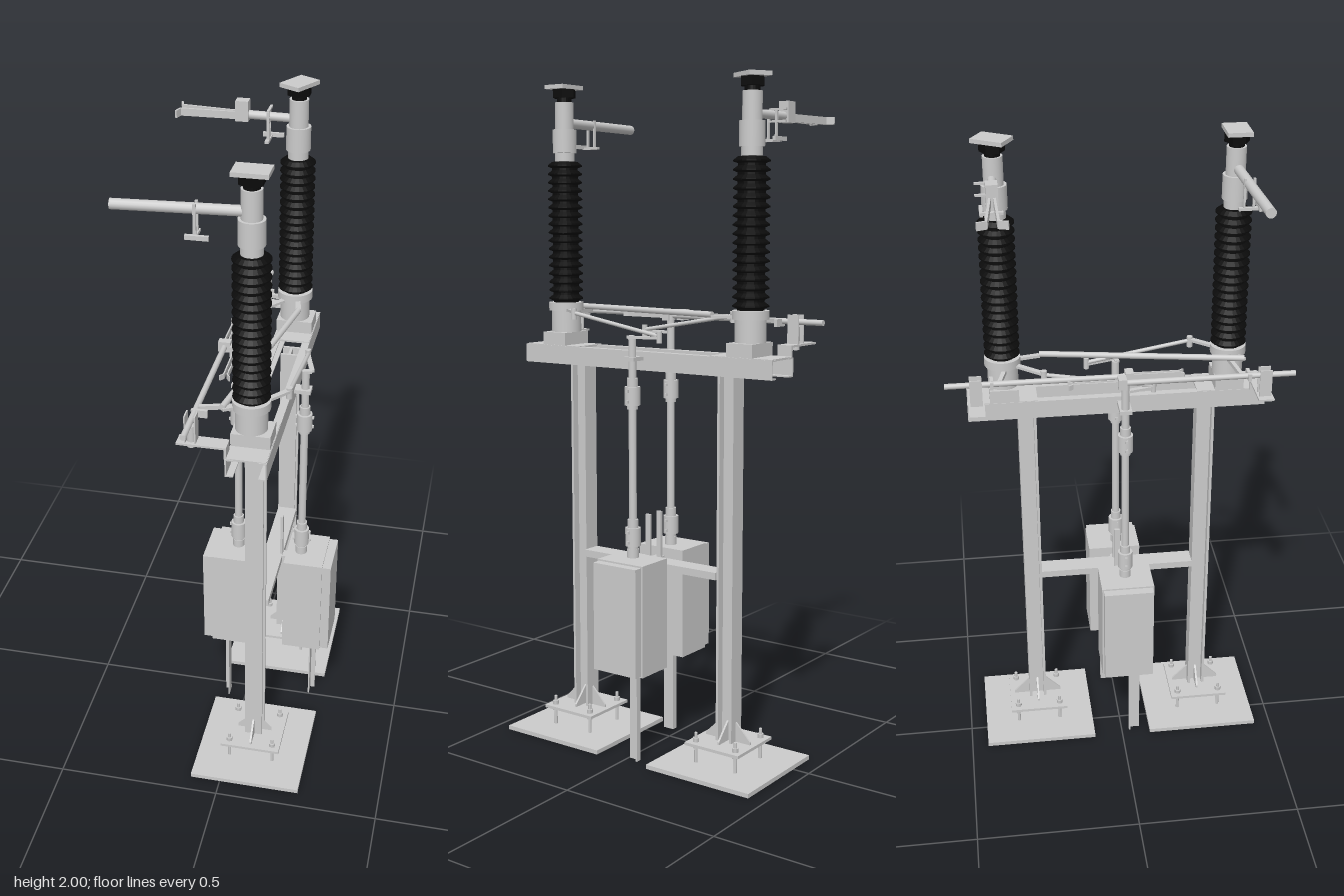
import * as THREE from 'three';

const grey = new THREE.MeshStandardMaterial({ color: 0xcccccc });
const black = new THREE.MeshStandardMaterial({ color: 0x0b0b0b, flatShading: true });
const V = (x, y, z) => new THREE.Vector3(x, y, z);

export function createModel() {
  const root = new THREE.Group();
  const CX = 0.078; // centre line of columns and insulators

  function add(name, geo, x, y, z, mat = grey, parent = root) {
    const m = new THREE.Mesh(geo, mat);
    m.name = name;
    m.position.set(x, y, z);
    parent.add(m);
    return m;
  }
  // Box given by its limits on each axis
  const box = (name, x0, x1, y0, y1, z0, z1, parent = root, mat = grey) =>
    add(name, new THREE.BoxGeometry(x1 - x0, y1 - y0, z1 - z0),
      (x0 + x1) / 2, (y0 + y1) / 2, (z0 + z1) / 2, mat, parent);
  // Upright cylinder between two heights
  const post = (name, x, z, y0, y1, r, seg = 20, parent = root, mat = grey) =>
    add(name, new THREE.CylinderGeometry(r, r, y1 - y0, seg), x, (y0 + y1) / 2, z, mat, parent);
  // Round rod between two points
  function rod(name, a, b, r, parent = root, seg = 14) {
    const d = b.clone().sub(a), mid = a.clone().add(b).multiplyScalar(0.5);
    const m = add(name, new THREE.CylinderGeometry(r, r, d.length(), seg), mid.x, mid.y, mid.z, grey, parent);
    m.quaternion.setFromUnitVectors(V(0, 1, 0), d.normalize());
    return m;
  }
  // Flat bar between two points
  function bar(name, a, b, w, h, parent = root) {
    const mid = a.clone().add(b).multiplyScalar(0.5);
    const m = add(name, new THREE.BoxGeometry(w, h, a.distanceTo(b)), mid.x, mid.y, mid.z, grey, parent);
    m.lookAt(b);
    return m;
  }

  // Column with its footing, gussets and anchor bolts
  function column(z) {
    const g = new THREE.Group();
    g.name = 'column';
    g.position.set(CX, 0, z);
    root.add(g);
    box('footing', -0.171, 0.171, 0, 0.013, -0.178, 0.178, g);
    box('basePlate', -0.093, 0.093, 0.068, 0.077, -0.093, 0.093, g);
    for (const s of [-1, 1]) {
      box('columnFlange', -0.027, 0.027, 0.077, 1.168, s * 0.0235 - 0.004, s * 0.0235 + 0.004, g);
      const tri = new THREE.Shape([[0, 0], [0.05, 0], [0.05, 0.008], [0, 0.06]].map(p => new THREE.Vector2(...p)));
      for (let k = 0; k < 2; k++) {
        const piv = new THREE.Group();
        piv.rotation.y = (s > 0 ? 0 : Math.PI) + k * Math.PI / 2;
        g.add(piv);
        add('gusset', new THREE.ExtrudeGeometry(tri, { depth: 0.006, bevelEnabled: false }),
          k ? 0.027 : 0.004, 0.077, -0.003, grey, piv);
      }
      for (const t of [-1, 1]) {
        post('anchorBolt', s * 0.069, t * 0.069, 0.013, 0.105, 0.005, 10, g);
        post('anchorNut', s * 0.069, t * 0.069, 0.077, 0.089, 0.01, 6, g);
        post('levelNut', s * 0.069, t * 0.069, 0.058, 0.068, 0.01, 6, g);
      }
    }
    box('columnWeb', -0.004, 0.004, 0.077, 1.168, -0.02, 0.02, g);
  }
  column(0.27);
  column(-0.27);

  // Top beam: two facing channels with end plates
  for (const s of [-1, 1]) {
    const x = 0.084 + s * 0.0555;
    box('beamWeb', x - 0.002, x + 0.002, 1.165, 1.22, -0.445, 0.445);
    const fx = x - s * 0.01;
    box('beamTopFlange', fx - 0.011, fx + 0.011, 1.216, 1.22, -0.445, 0.445);
    box('beamBottomFlange', fx - 0.011, fx + 0.011, 1.165, 1.169, -0.445, 0.445);
    box('beamEndPlate', 0.028, 0.14, 1.216, 1.222, s * 0.34 - 0.102, s * 0.34 + 0.102);
  }

  // Crossbar between the columns with upright straps
  box('crossbar', 0.052, 0.112, 0.565, 0.587, -0.243, 0.243);
  for (const x of [0.053, 0.108]) box('strap', x - 0.004, x + 0.004, 0.565, 0.73, -0.008, 0.008);

  // Insulator with pedestal, ribbed body and head
  function insulator(z, turn) {
    const g = new THREE.Group();
    g.name = 'insulator';
    g.position.set(CX, 0, z);
    root.add(g);
    box('pedestalBlock', -0.05, 0.06, 1.22, 1.26, -0.043, 0.043, g);
    post('pedestal', 0, 0, 1.26, 1.325, 0.045, 28, g);
    post('pedestalFlange', 0, 0, 1.325, 1.35, 0.053, 28, g);
    const pts = [new THREE.Vector2(0.001, 1.35), new THREE.Vector2(0.038, 1.35)];
    const n = 17, step = 0.425 / n;
    for (let i = 0; i < n; i++) {
      const y = 1.35 + i * step;
      pts.push(new THREE.Vector2(0.039, y + step * 0.2), new THREE.Vector2(0.052, y + step * 0.4),
        new THREE.Vector2(0.052, y + step * 0.55), new THREE.Vector2(0.039, y + step * 0.95));
    }
    pts.push(new THREE.Vector2(0.001, 1.775));
    add('sheds', new THREE.LatheGeometry(pts, 24), 0, 0, 0, black, g);
    post('headCollar', 0, 0, 1.775, 1.8, 0.03, 24, g);
    post('headBase', 0, 0, 1.8, 1.87, 0.036, 24, g);
    post('head', 0, 0, 1.87, 1.95, 0.028, 24, g);
    post('headNeck', 0, 0, 1.95, 1.965, 0.022, 20, g, black);
    post('headHexagon', 0, 0, 1.963, 1.988, 0.036, 6, g, black);
    const cap = box('terminalPlate', -0.048, 0.048, 1.988, 2, -0.035, 0.035, g);
    cap.rotation.y = turn;
  }
  insulator(0.335, 0);
  insulator(-0.335, Math.PI / 3);

  // Plain contact arm on the front insulator
  rod('contactArm', V(0.07, 1.89, 0.338), V(-0.28, 1.887, 0.355), 0.0145);
  // Forked contact arm on the rear insulator
  rod('forkArm', V(0.07, 1.89, -0.339), V(-0.09, 1.89, -0.346), 0.0125);
  box('forkClamp', -0.108, -0.07, 1.872, 1.932, -0.362, -0.33);
  for (const [z0, z1, z2] of [[-0.352, -0.369, -0.394], [-0.34, -0.337, -0.312]]) {
    bar('forkFinger', V(-0.1, 1.887, z0), V(-0.274, 1.887, z1), 0.007, 0.022);
    bar('forkTip', V(-0.272, 1.887, z1), V(-0.28, 1.887, z2), 0.006, 0.022);
  }
  // Earthing hooks below the arms
  for (const [x, z, r] of [[-0.063, 0.345, 1], [-0.012, -0.345, -1]]) {
    box('hookHanger', x - 0.004, x + 0.004, 1.82, 1.905, z - 0.016, z - 0.01);
    box('hookHanger', x - 0.004, x + 0.004, 1.82, 1.905, z + 0.01, z + 0.016);
    box('hookFoot', x - 0.006, x + 0.006, 1.816, 1.824, z - 0.028, z + 0.03);
    box('hookLip', x - 0.022, x + 0.04, 1.818, 1.83, z + r * 0.03 - 0.005, z + r * 0.03 + 0.005);
  }
  for (const y of [1.872, 1.905]) box('hookPin', -0.016, -0.008, y - 0.003, y + 0.003, -0.39, -0.335);

  // Earthing blades with forked ends and their end brackets
  function earthBlade(x, z0, z1, zTip) {
    const s = Math.sign(zTip - z1);
    rod('earthBlade', V(x, 1.315, z0), V(x, 1.315, z1), 0.0085);
    box('bladeClamp', x - 0.018, x + 0.018, 1.3, 1.332, z1 - 0.012, z1 + 0.012);
    for (const t of [-1, 1]) {
      bar('bladeFinger', V(x + t * 0.006, 1.315, z1), V(x + t * 0.005, 1.315, zTip - s * 0.012), 0.004, 0.016);
      bar('bladeTip', V(x + t * 0.005, 1.315, zTip - s * 0.013), V(x + t * 0.014, 1.315, zTip), 0.004, 0.016);
    }
    // bearing bracket at the beam end
    const e = Math.sign(z0), zc = e * 0.418;
    box('bladeBracket', -0.108, 0.03, 1.247, 1.253, zc - 0.023, zc + 0.023);
    box('bracketArm', 0.024, 0.03, 1.2, 1.253, zc - 0.023, zc + 0.023);
    post('bracketPin', x, zc, 1.235, 1.3, 0.012, 14);
    for (const t of [-1, 1]) box('bearingCheek', x + t * 0.014 - 0.002, x + t * 0.014 + 0.002, 1.253, 1.335, zc - 0.018, zc + 0.018);
    box('bladeStop', x - 0.01, x + 0.035, 1.3, 1.322, e * 0.372 - 0.005, e * 0.372 + 0.005);
    bar('pivotArm', V(x, 1.315, e * 0.35), V(0.04, 1.32, e * 0.33), 0.012, 0.012);
  }
  earthBlade(-0.07, 0.507, 0, -0.155);
  earthBlade(-0.03, -0.507, 0.025, 0.185);

  // Coupling rods and cranks between the insulators
  rod('diagonalRod', V(0.004, 1.335, 0.37), V(0.107, 1.335, -0.225), 0.009);
  bar('diagonalCrank', V(0.004, 1.33, 0.37), V(0.06, 1.33, 0.335), 0.016, 0.008);
  bar('diagonalCrank', V(0.107, 1.33, -0.225), V(0.09, 1.33, -0.31), 0.016, 0.008);
  rod('rightLinkRod', V(-0.01, 1.325, -0.22), V(-0.01, 1.27, 0.1), 0.006);
  bar('rightCrank', V(-0.01, 1.328, -0.22), V(0.055, 1.328, -0.3), 0.016, 0.008);
  bar('rightLever', V(-0.01, 1.265, 0.1), V(-0.03, 1.265, 0.015), 0.014, 0.008);
  rod('leftLinkRod', V(0.163, 1.27, -0.08), V(0.163, 1.325, 0.235), 0.006);
  bar('leftCrank', V(0.163, 1.328, 0.235), V(0.1, 1.328, 0.31), 0.016, 0.008);
  bar('leftLever', V(0.163, 1.265, -0.08), V(0.19, 1.265, 0.01), 0.014, 0.008);
  bar('leverLink', V(0.19, 1.265, 0.01), V(0.165, 1.265, 0.015), 0.014, 0.008);
  for (const [x, z] of [[-0.01, -0.22], [0.163, 0.235]]) post('linkPin', x, z, 1.305, 1.338, 0.009, 12);
  for (const [x, z] of [[-0.01, 0.1], [0.163, -0.08]]) post('linkPin', x, z, 1.25, 1.285, 0.008, 12);

  // Drive cabinets with door, leg and drive shaft
  function cabinet(s, xIn, xDoor, xOut, zc, legX, legZ, shaftX, shaftZ, shaftTop) {
    const lim = (a, b) => [Math.min(a, b), Math.max(a, b)];
    box('cabinet', ...lim(xIn, xDoor), 0.275, 0.61, zc - 0.082, zc + 0.082);
    box('cabinetDoor', ...lim(xDoor, xOut), 0.28, 0.605, zc - 0.077, zc + 0.077);
    box('legFace', legX - 0.009, legX + 0.009, 0, 0.275, legZ - 0.018, legZ - 0.013);
    box('legSide', legX - s * 0.007 - 0.002, legX - s * 0.007 + 0.002, 0, 0.275, legZ - 0.018, legZ + 0.018);
    box('cabinetBracket', ...lim(xIn, CX), 0.567, 0.585, zc - 0.015, zc + 0.015);
    post('driveShaft', shaftX, shaftZ, 0.61, shaftTop, 0.0115);
    post('shaftGland', shaftX, shaftZ, 0.61, 0.635, 0.018);
    for (const y of [0.645, 1.065]) {
      post('coupling', shaftX, shaftZ, y, y + 0.055, 0.023);
      post('couplingNeck', shaftX, shaftZ, y - 0.012, y + 0.08, 0.016);
      for (const h of [0.012, 0.043]) box('couplingBolt', shaftX - 0.028, shaftX + 0.028, y + h - 0.004, y + h + 0.004, shaftZ - 0.004, shaftZ + 0.004);
    }
  }
  cabinet(1, 0.128, 0.25, 0.277, 0, 0.214, -0.022, 0.172, 0.01, 1.265);
  cabinet(-1, 0.024, -0.1, -0.127, 0.016, -0.062, 0.042, -0.028, 0.015, 1.32);
  // Shaft bearings carried by the beam
  box('shaftBearing', 0.138, 0.19, 1.195, 1.207, -0.008, 0.028);
  box('shaftBearing', -0.045, 0.03, 1.195, 1.207, -0.003, 0.033);

  return root;
}
